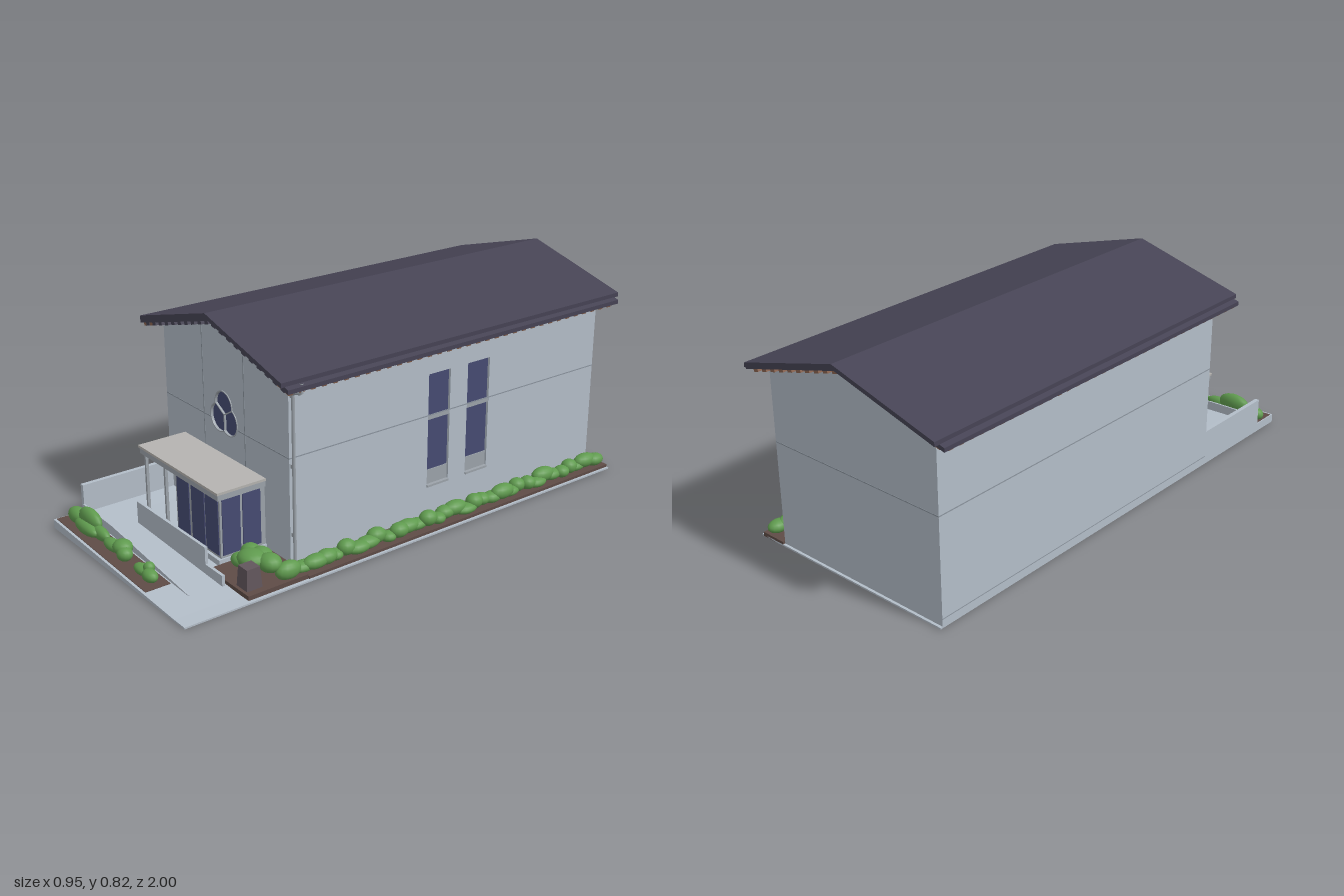
import * as THREE from 'three';

const mat = (color) => new THREE.MeshStandardMaterial({ color });
const WALL = mat(0xb3bdc8), GROOVE = mat(0x8b949e), ROOF = mat(0x464354), GLASS = mat(0x464b72);
const WOOD = mat(0x8a6450), LEAF = mat(0x5f9a4e), SOIL = mat(0x5e4b46), STONE = mat(0x62565c);
const FRAME = mat(0x9ca3aa), CANOPY = mat(0xb5b3b0);

export function createModel() {
  const root = new THREE.Group();
  const CX = -0.022, L = -0.405, R = 0.362, FRONT = 0.51, BACK = -0.94;

  const group = (name) => {
    const g = new THREE.Group();
    g.name = name;
    root.add(g);
    return g;
  };
  const add = (parent, name, geo, m) => {
    const mesh = new THREE.Mesh(geo, m);
    mesh.name = name;
    parent.add(mesh);
    return mesh;
  };
  // box from its limits
  const box = (parent, name, x0, x1, y0, y1, z0, z1, m) => {
    const b = add(parent, name, new THREE.BoxGeometry(x1 - x0, y1 - y0, z1 - z0), m);
    b.position.set((x0 + x1) / 2, (y0 + y1) / 2, (z0 + z1) / 2);
    return b;
  };
  const poly = (pts) => new THREE.Shape(pts.map(([x, y]) => new THREE.Vector2(x, y)));
  const prism = (parent, name, shape, z0, z1, m) => {
    const g = new THREE.ExtrudeGeometry(shape, { depth: z1 - z0, bevelEnabled: false, curveSegments: 20 });
    const p = add(parent, name, g, m);
    p.position.z = z0;
    return p;
  };
  const roofY = (x) => 0.79 - 0.275 * Math.abs(x - CX);
  const gable = (x0, x1) => poly([[x0, 0], [x1, 0], [x1, roofY(x1)], [CX, 0.79], [x0, roofY(x0)]]);

  // three overlapping circles as one outline
  const trefoil = (r) => {
    const d = 0.035, c = d / 2 + Math.sqrt(r * r - 0.75 * d * d);
    const half = Math.atan2(c * Math.sin(Math.PI / 3), c / 2 - d);
    const s = new THREE.Shape();
    for (let i = 0; i < 3; i++) {
      const a = Math.PI / 2 + i * Math.PI * 2 / 3;
      s.absarc(CX + d * Math.cos(a), 0.437 + d * Math.sin(a), r, a - half, a + half, false);
    }
    return s;
  };

  // walls: a core with a front skin and a right skin that hold the window openings
  const walls = group('walls');
  prism(walls, 'wallCore', gable(L, 0.347), BACK, 0.495, WALL);
  const frontSkin = gable(L, R);
  frontSkin.holes.push(trefoil(0.053));
  prism(walls, 'frontWall', frontSkin, 0.495, FRONT, WALL);
  const windows = [[-0.197, -0.095], [-0.387, -0.28]];
  const side = poly([[-0.495, 0], [-BACK, 0], [-BACK, roofY(R)], [-0.495, roofY(R)]]);
  for (const [z0, z1] of windows) {
    side.holes.push(poly([[-z1, 0.13], [-z0, 0.13], [-z0, 0.56], [-z1, 0.56]]));
  }
  const sideWall = prism(walls, 'rightWall', side, 0, 0.015, WALL);
  sideWall.rotation.y = Math.PI / 2;
  sideWall.position.set(0.347, 0, 0);

  // panel joints
  const e = 0.001, j0 = 0.403, j1 = 0.407;
  box(walls, 'frontJointLeft', L, -0.106, j0, j1, FRONT, FRONT + e, GROOVE);
  box(walls, 'frontJointRight', 0.062, R, j0, j1, FRONT, FRONT + e, GROOVE);
  for (const x of [-0.15, 0.105]) {
    box(walls, 'verticalJoint', x - 0.002, x + 0.002, 0.03, roofY(x), FRONT, FRONT + e, GROOVE);
  }
  box(walls, 'rightJoint', R - e, R + e, j0, j1, BACK, FRONT, GROOVE);
  box(walls, 'leftJoint', L - e, L, j0, j1, BACK, FRONT, GROOVE);
  box(walls, 'backJoint', L, R, j0, j1, BACK - e, BACK, GROOVE);
  box(walls, 'leftBaseJoint', L - e, L, 0.032, 0.035, BACK, FRONT, GROOVE);

  // trefoil window
  const rose = group('trefoilWindow');
  prism(rose, 'trefoilGlass', trefoil(0.052), 0.496, 0.503, GLASS);
  const ring = trefoil(0.054);
  ring.holes.push(trefoil(0.05));
  prism(rose, 'trefoilFrame', ring, 0.498, 0.513, FRAME);
  for (let i = 0; i < 3; i++) {
    const a = Math.PI / 6 + i * Math.PI * 2 / 3;
    const bar = add(rose, 'trefoilBar', new THREE.BoxGeometry(0.06, 0.004, 0.01), FRAME);
    bar.position.set(CX + 0.03 * Math.cos(a), 0.437 + 0.03 * Math.sin(a), 0.506);
    bar.rotation.z = a;
  }

  // tall side windows
  for (const [z0, z1] of windows) {
    const w = group('sideWindow');
    box(w, 'upperPane', 0.345, 0.352, 0.4, 0.56, z0, z1, GLASS);
    box(w, 'lowerPane', 0.345, 0.352, 0.19, 0.387, z0, z1, GLASS);
    box(w, 'windowRail', 0.345, 0.36, 0.387, 0.402, z0, z1, FRAME);
    box(w, 'lowerPanel', 0.345, 0.355, 0.135, 0.19, z0, z1, FRAME);
    box(w, 'windowSill', 0.345, 0.368, 0.127, 0.135, z0, z1, FRAME);
  }

  // two-layer roof
  const roof = group('roof');
  const layer = (name, half, top, t, z0, z1) => {
    const y = top - 0.275 * half;
    prism(roof, name, poly([[CX - half, y - t], [CX, top - t], [CX + half, y - t],
      [CX + half, y], [CX, top], [CX - half, y]]), z0, z1, ROOF);
  };
  layer('roofTop', 0.437, 0.82, 0.016, -1, 0.575);
  layer('roofUnderlayer', 0.457, 0.805, 0.015, -0.98, 0.562);
  for (const s of [-1, 1]) {
    const tilt = -s * Math.atan(0.275);
    for (let d = 0.022; d < 0.44; d += 0.044) {
      for (const [z0, z1, m] of [[-0.97, BACK, WOOD], [FRONT, 0.555, ROOF]]) {
        const x = CX + s * d;
        box(roof, 'purlinEnd', x - 0.011, x + 0.011, roofY(x) - 0.013, roofY(x) + 0.003, z0, z1, m).rotation.z = tilt;
      }
    }
    const x = CX + s * 0.413;
    for (let z = -0.95; z < 0.55; z += 0.045) {
      box(roof, 'rafterTail', x - 0.036, x + 0.036, roofY(x) - 0.012, roofY(x) + 0.002, z, z + 0.018, WOOD).rotation.z = tilt;
    }
  }

  // rain pipe at the front right corner
  const drain = group('drainpipe');
  const path = new THREE.CurvePath();
  const pts = [[0.374, 0.03], [0.374, 0.638], [0.422, 0.65], [0.422, 0.685]].map(([x, y]) => new THREE.Vector3(x, y, 0.5));
  for (let i = 0; i < 3; i++) path.add(new THREE.LineCurve3(pts[i], pts[i + 1]));
  add(drain, 'pipe', new THREE.TubeGeometry(path, 60, 0.006, 8), FRAME);
  for (const y of [0.12, 0.37, 0.62]) box(drain, 'pipeBracket', R, 0.374, y, y + 0.014, 0.495, 0.505, FRAME);

  // ground, sloping forecourt and planting beds
  const ground = group('ground');
  box(ground, 'baseSlab', L, 0.475, 0, 0.006, -0.95, 1, WALL);
  const ramp = (x) => 0.033 - 0.033 * (x - L);
  const slope = (name, x0, x1, h, z0, z1, m) => prism(ground, name,
    poly([[x0, 0], [x1, 0], [x1, ramp(x1) + h], [x0, ramp(x0) + h]]), z0, z1, m);
  slope('forecourt', L, 0.475, 0, FRONT, 1, WALL);
  slope('frontBed', -0.4, 0.22, 0.002, 0.895, 0.99, SOIL);
  prism(ground, 'rampCurb', poly([[-0.39, 0], [0.32, 0], [0.32, 0.011], [-0.18, 0.062], [-0.39, 0.066]]), 0.882, 0.889, WALL);
  box(ground, 'cornerBed', 0.225, 0.462, 0, 0.022, FRONT, 0.75, SOIL);
  box(ground, 'sideBed', R, 0.466, 0, 0.016, -0.95, FRONT, SOIL);
  box(ground, 'sideParapet', L, -0.388, 0, 0.14, FRONT, 0.885, WALL);

  // porch with glazed lobby
  const porch = group('porch');
  box(porch, 'porchFloor', -0.285, 0.222, 0, 0.035, FRONT, 0.705, WALL);
  box(porch, 'canopy', -0.285, 0.222, 0.254, 0.278, FRONT, 0.703, FRAME);
  box(porch, 'canopyTop', -0.288, 0.225, 0.276, 0.285, FRONT, 0.707, CANOPY);
  for (const x of [-0.263, -0.131]) box(porch, 'porchPost', x - 0.005, x + 0.005, 0.03, 0.256, 0.685, 0.696, FRAME);
  box(porch, 'lobbyFrame', -0.06, 0.216, 0.03, 0.256, FRONT, 0.693, FRAME);
  for (const [x0, x1] of [[-0.05, 0.027], [0.043, 0.123], [0.13, 0.208]]) {
    box(porch, 'lobbyPane', x0, x1, 0.045, 0.252, 0.685, 0.696, GLASS);
  }
  for (const [z0, z1] of [[0.53, 0.603], [0.613, 0.685]]) {
    box(porch, 'lobbySidePane', 0.21, 0.219, 0.045, 0.252, z0, z1, GLASS);
    box(porch, 'lobbySidePane', -0.063, -0.055, 0.045, 0.252, z0, z1, GLASS);
  }
  box(porch, 'lowWall', -0.21, 0.235, 0, 0.11, 0.757, 0.768, WALL);
  box(porch, 'lowWallStep', 0.235, 0.335, 0, 0.048, 0.757, 0.768, WALL);

  // tapered stone by the entrance
  const stone = add(root, 'stonePillar', new THREE.CylinderGeometry(0.036, 0.045, 0.097, 4).rotateY(Math.PI / 4), STONE);
  stone.material = STONE.clone();
  stone.material.flatShading = true;
  stone.position.set(0.406, 0.0485, 0.708);

  // shrubs: x, y, z, then half width, half height, half depth
  const shrubs = group('shrubs');
  const ball = new THREE.SphereGeometry(1, 14, 10);
  const shrub = (x, y, z, a, b, c) => {
    const s = add(shrubs, 'shrub', ball, LEAF);
    s.position.set(x, y, z);
    s.scale.set(a, b, c);
  };
  for (const p of [
    [-0.265, 0.067, 0.925, 0.07, 0.04, 0.028], [-0.35, 0.05, 0.93, 0.052, 0.03, 0.03], [-0.25, 0.047, 0.95, 0.075, 0.024, 0.025],
    [-0.185, 0.045, 0.93, 0.055, 0.025, 0.022], [-0.03, 0.056, 0.93, 0.038, 0.027, 0.035], [-0.085, 0.042, 0.935, 0.055, 0.02, 0.026],
    [0, 0.045, 0.94, 0.03, 0.025, 0.028], [0.145, 0.053, 0.93, 0.02, 0.02, 0.02], [0.175, 0.04, 0.945, 0.035, 0.022, 0.025],
    [0.11, 0.032, 0.935, 0.045, 0.018, 0.024],
  ]) shrub(...p);
  for (const p of [
    [0.265, 0.055, 0.605, 0.04, 0.03, 0.035], [0.335, 0.075, 0.65, 0.055, 0.03, 0.048], [0.32, 0.06, 0.6, 0.045, 0.032, 0.04],
    [0.39, 0.07, 0.615, 0.045, 0.032, 0.04], [0.43, 0.045, 0.57, 0.03, 0.033, 0.05], [0.28, 0.05, 0.66, 0.035, 0.025, 0.03],
  ]) shrub(...p);
  // uneven hedge along the right wall
  for (let i = 0; i < 32; i++) {
    const t = Math.sin(i * 2.4), z = -0.91 + i * 0.0455;
    shrub(0.424 + 0.008 * Math.cos(i * 1.7), 0.038 + 0.008 * t, z, 0.03, 0.024 + 0.005 * t, 0.042 + 0.012 * Math.sin(i * 1.3));
  }
  return root;
}
